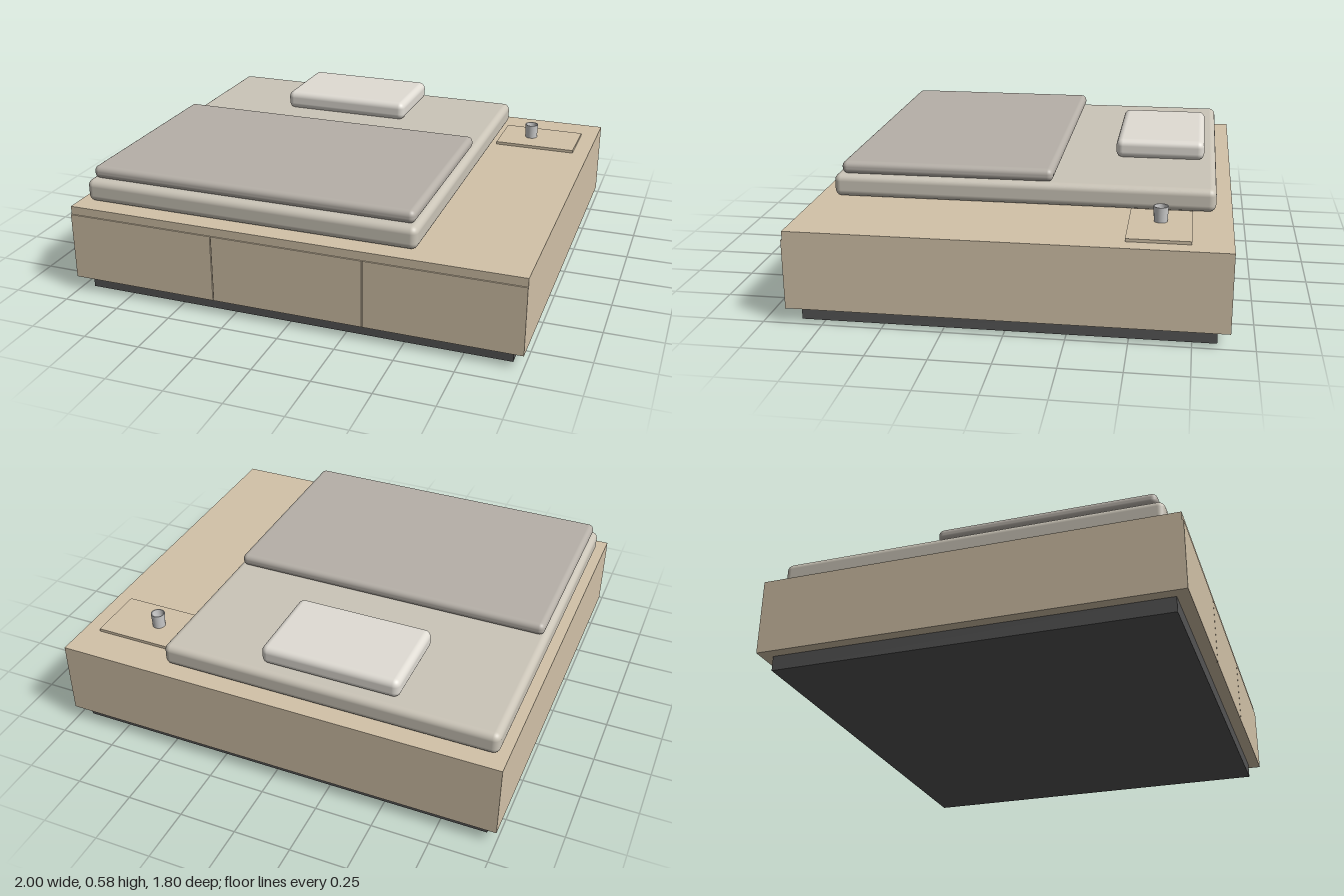
import * as THREE from 'three';
import { RoundedBoxGeometry } from 'three/addons/geometries/RoundedBoxGeometry.js';

const mat = (color, extra = {}) => new THREE.MeshStandardMaterial({ color, ...extra });

// Box given by its [min, max] extents; radius > 0 rounds the edges.
function block(name, [x0, x1], [y0, y1], [z0, z1], material, radius = 0) {
  const size = [x1 - x0, y1 - y0, z1 - z0];
  const geometry = radius
    ? new RoundedBoxGeometry(...size, 4, radius)
    : new THREE.BoxGeometry(...size);
  const mesh = new THREE.Mesh(geometry, material);
  mesh.name = name;
  mesh.position.set((x0 + x1) / 2, (y0 + y1) / 2, (z0 + z1) / 2);
  return mesh;
}

export function createModel() {
  const model = new THREE.Group();
  model.name = 'platformBed';
  const wood = mat(0xd2c2a8);

  // Recessed plinth and wooden platform
  model.add(block('plinth', [-0.95, 0.95], [0, 0.065], [-0.85, 0.85], mat(0x555555)));
  model.add(block('platform', [-1, 1], [0.065, 0.4], [-0.9, 0.896], wood));

  // Three drawer fronts with narrow gaps between them
  const drawers = new THREE.Group();
  drawers.name = 'drawers';
  const pitch = 2 / 3, gap = 0.004;
  for (let i = 0; i < 3; i++) {
    const x = -1 + i * pitch;
    const span = [i ? x + gap / 2 : x, i < 2 ? x + pitch - gap / 2 : 1];
    drawers.add(block('drawerFront', span, [0.065, 0.363], [0.894, 0.902], wood));
  }
  model.add(drawers);

  // Bedding
  model.add(block('mattress', [-0.96, 0.535], [0.4, 0.5], [-0.83, 0.825], mat(0xcbc5b8), 0.03));
  model.add(block('blanket', [-0.94, 0.515], [0.498, 0.555], [-0.137, 0.793], mat(0xb6b0a8), 0.025));
  model.add(block('pillow', [-0.52, 0.095], [0.498, 0.585], [-0.775, -0.375], mat(0xe0dcd4), 0.03));

  // Tray with a small open cup
  model.add(block('tray', [0.55, 0.925], [0.4, 0.413], [-0.735, -0.475], wood));
  const profile = [
    [0, 0], [0.028, 0], [0.028, 0], [0.031, 0.065], [0.031, 0.065],
    [0.027, 0.065], [0.027, 0.065], [0.024, 0.02], [0.015, 0.009], [0, 0.006],
  ].map(([r, y]) => new THREE.Vector2(r, y));
  const cup = new THREE.Mesh(
    new THREE.LatheGeometry(profile, 32),
    mat(0xcccccc, { side: THREE.DoubleSide })
  );
  cup.name = 'cup';
  cup.position.set(0.696, 0.413, -0.605);
  model.add(cup);

  return model;
}
